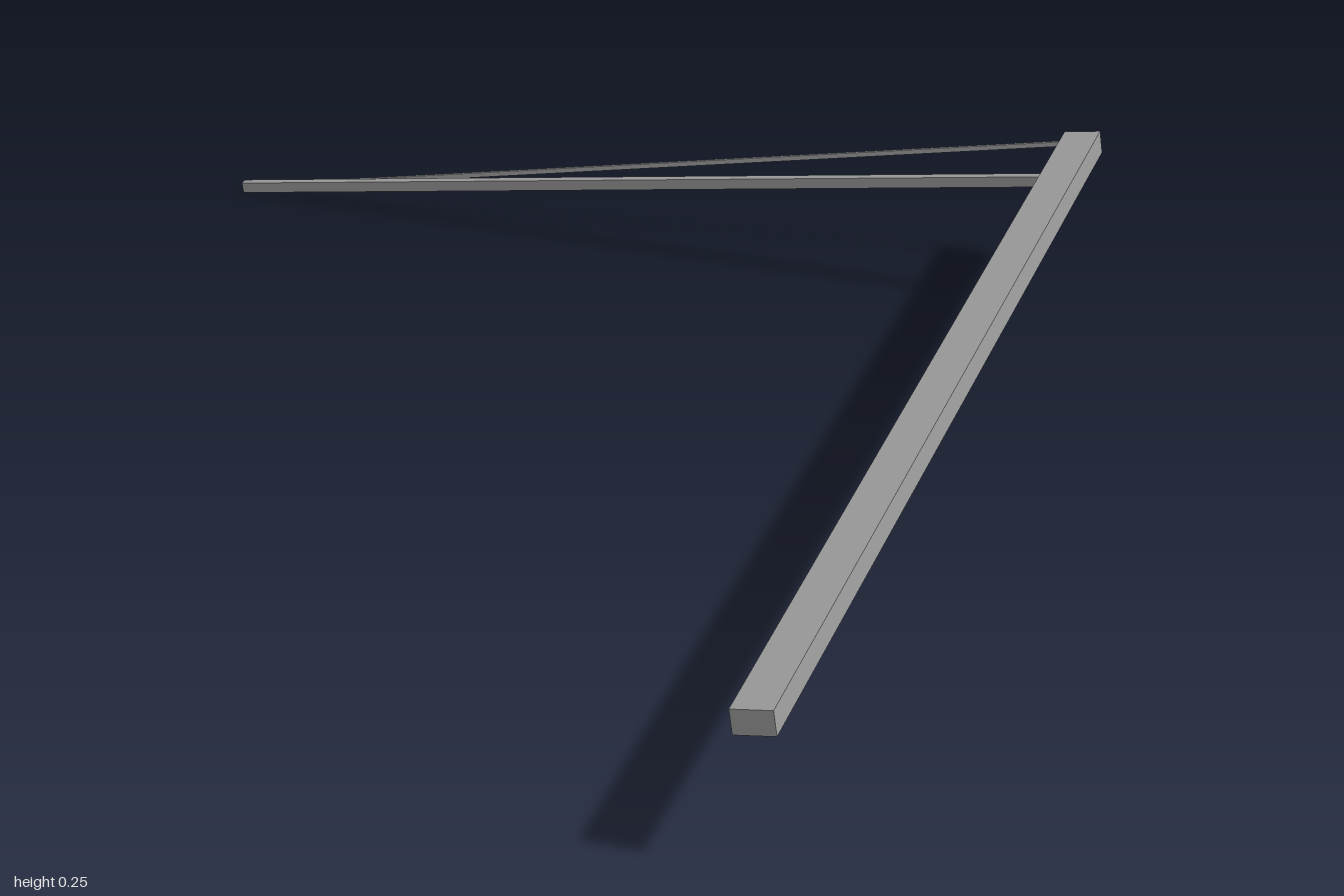
import * as THREE from 'three';

export function createModel() {
  const model = new THREE.Group();
  model.name = 'bracedBeam';
  const gray = new THREE.MeshStandardMaterial({ color: 0x9c9c9c });
  gray.name = 'gray';

  // The whole frame is tilted about the long beam's axis
  const frame = new THREE.Group();
  frame.name = 'tiltedFrame';
  frame.position.set(0.704, 0.226, 0);
  frame.rotation.z = THREE.MathUtils.degToRad(8.56);
  model.add(frame);

  // Square-section bar between two points, in the frame's own axes
  function bar(name, from, to, height, width) {
    const a = new THREE.Vector3(...from);
    const b = new THREE.Vector3(...to);
    const mesh = new THREE.Mesh(new THREE.BoxGeometry(a.distanceTo(b), height, width), gray);
    mesh.name = name;
    mesh.position.copy(a).add(b).multiplyScalar(0.5);
    mesh.rotation.y = Math.atan2(a.z - b.z, b.x - a.x);
    frame.add(mesh);
  }

  // Long beam, side arm and the thin stay bracing the arm
  bar('longBeam', [0, 0, 1], [0, 0, -1], 0.038, 0.06);
  bar('sideArm', [-1.457, 0, -0.833], [-0.02, 0, -0.833], 0.018, 0.015);
  bar('stayWire', [-1.42, 0, -0.833], [-0.02, 0, -0.996], 0.008, 0.005);

  return model;
}
